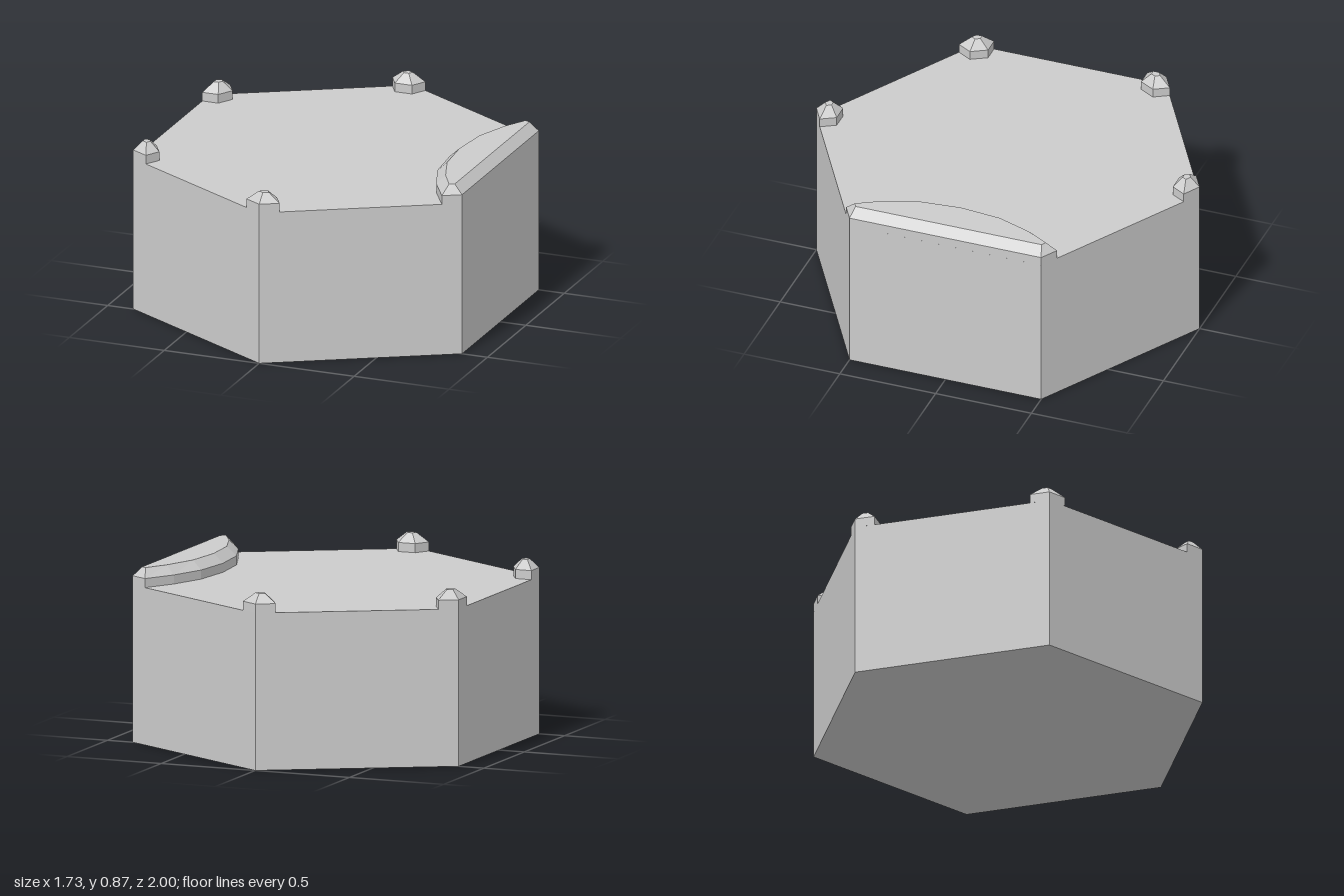
import * as THREE from 'three';

const DECK = 0.78, SHOULDER = 0.825, TOP = 0.87;

// Raised pad: vertical walls, a bevel to a smaller ring, and a flat convex top.
// Outlines are [x, z] pairs running counter-clockwise seen from above.
function bevelledPad(outline, topRing) {
  const n = outline.length;
  const pos = [], index = [];
  const ring = (pts, y) => pts.forEach(([x, z]) => pos.push(x, y, z));
  ring(outline, DECK);
  ring(outline, SHOULDER);
  ring(topRing, TOP);
  for (let level = 0; level < 2; level++) {
    for (let i = 0; i < n; i++) {
      const a = level * n + i, b = level * n + (i + 1) % n;
      index.push(a, b, b + n, a, b + n, a + n);
    }
  }
  for (let i = 1; i < n - 1; i++) index.push(2 * n, 2 * n + i, 2 * n + i + 1);
  const g = new THREE.BufferGeometry();
  g.setAttribute('position', new THREE.Float32BufferAttribute(pos, 3));
  g.setIndex(index);
  const flat = g.toNonIndexed();
  flat.computeVertexNormals();
  return flat;
}

// Completes an outline that is symmetric across z = 0, from its -z half.
function mirrorZ(half) {
  const other = half.filter(([, z]) => z !== 0).reverse().map(([x, z]) => [x, -z]);
  return [...half, ...other];
}

export function createModel() {
  const group = new THREE.Group();
  const material = new THREE.MeshStandardMaterial({ color: 0xcccccc, flatShading: true });
  const add = (name, geometry) => {
    const mesh = new THREE.Mesh(geometry, material);
    mesh.name = name;
    group.add(mesh);
    return mesh;
  };

  // Hexagonal block with corners at front and back
  add('hexBase', new THREE.CylinderGeometry(1, 1, DECK, 6)).position.y = DECK / 2;

  // Small studs on the four corners away from the bank
  const stud = bevelledPad(
    [[0, 1], [0.087, 0.95], [0.045, 0.877], [-0.045, 0.877], [-0.087, 0.95]],
    [[0, 0.953], [0.026, 0.938], [0.013, 0.916], [-0.013, 0.916], [-0.026, 0.938]]
  );
  [0, -60, -120, 180].forEach((deg) => {
    add('cornerStud', stud).rotation.y = THREE.MathUtils.degToRad(deg);
  });

  // Curved bank along the +x edge
  add('edgeBank', bevelledPad(
    mirrorZ([[0.866, -0.5], [0.78, -0.55], [0.69, -0.4], [0.622, -0.22], [0.6, 0]]),
    mirrorZ([[0.822, -0.485], [0.797, -0.498], [0.733, -0.385], [0.67, -0.21], [0.65, 0]])
  ));

  return group;
}
